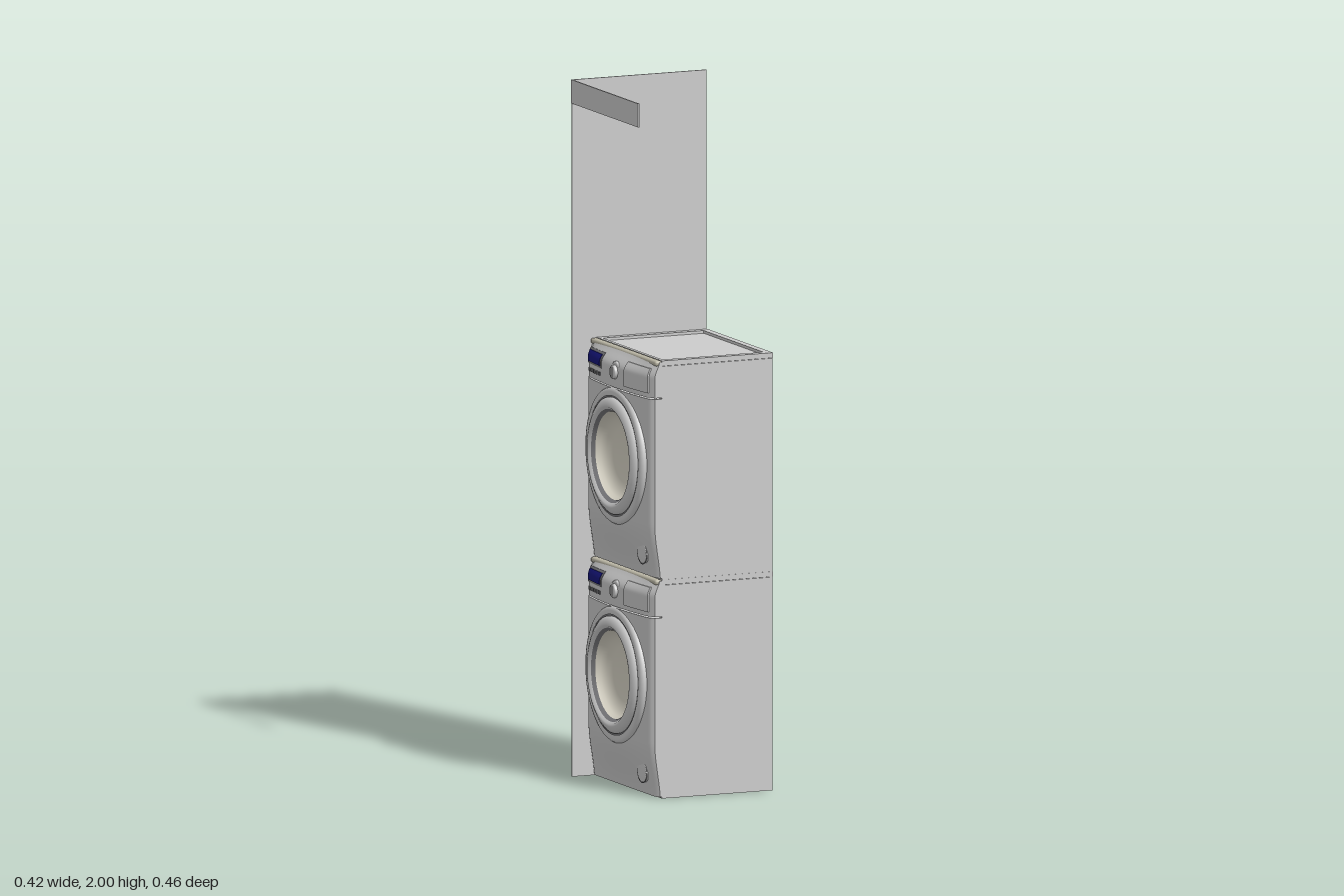
import * as THREE from 'three';
import { RoundedBoxGeometry } from 'three/addons/geometries/RoundedBoxGeometry.js';

const paint = (color, side = THREE.FrontSide) => new THREE.MeshStandardMaterial({ color, side });
const grey = paint(0xcccccc);
const greyThin = paint(0xcccccc, THREE.DoubleSide);
const dark = paint(0x77777a);
const warm = paint(0xb9b5a4);
const glass = paint(0xd8d4c6, THREE.DoubleSide);
const navy = paint(0x15157a);

const HEIGHT = 0.628;   // one machine
const DOOR_Y = 0.325;   // door centre above the machine's base

function add(group, name, geometry, material, x = 0, y = 0, z = 0) {
  const mesh = new THREE.Mesh(geometry, material);
  mesh.name = name;
  mesh.position.set(x, y, z);
  group.add(mesh);
  return mesh;
}

function box(group, name, material, x0, x1, y0, y1, z0, z1) {
  return add(group, name, new THREE.BoxGeometry(x1 - x0, y1 - y0, z1 - z0), material,
    (x0 + x1) / 2, (y0 + y1) / 2, (z0 + z1) / 2);
}

// Bulged front surface: x as a function of height and width
function faceX(y, z) {
  const s = THREE.MathUtils.smoothstep;
  const p = s(y, -0.02, 0.16) * s(HEIGHT + 0.01 - y, 0, 0.06);
  const w = Math.abs(z) / 0.225;
  return -0.148 - p * (0.018 + 0.016 * (1 - w * w)) + 0.01 * Math.pow(w, 24);
}

// Panel whose front follows the bulge, raised by an offset
function curvedPanel(group, name, material, y0, y1, z0, z1, offset, doorHole = false) {
  const n = doorHole ? 56 : 16;
  const geo = new THREE.BoxGeometry(1, y1 - y0, z1 - z0, 1, n, n);
  geo.translate(0, (y0 + y1) / 2, (z0 + z1) / 2);
  const pos = geo.attributes.position;
  for (let i = 0; i < pos.count; i++) {
    const y = pos.getY(i), z = pos.getZ(i);
    const inDoor = doorHole && Math.hypot(y - DOOR_Y, z) < 0.15;
    const front = inDoor ? -0.138 : faceX(y, z) - offset;
    pos.setX(i, pos.getX(i) < 0 ? front : -0.134);
  }
  geo.computeVertexNormals();
  return add(group, name, geo, material);
}

// Turned part whose axis points out of the front (-x); points are [radius, out]
function turned(group, name, material, points, x, y, z, segments = 64) {
  const geo = new THREE.LatheGeometry(points.map(([r, h]) => new THREE.Vector2(r, h)), segments);
  geo.rotateZ(Math.PI / 2);
  return add(group, name, geo, material, x, y, z);
}

function createMachine() {
  const m = new THREE.Group();
  box(m, 'cabinet', grey, -0.135, 0.209, 0, 0.612, -0.223, 0.224);

  // Lid: raised rim around a sunken plate
  const rim = new THREE.Shape();
  rim.moveTo(-0.135, -0.225).lineTo(0.21, -0.225).lineTo(0.21, 0.224).lineTo(-0.135, 0.224).closePath();
  const hole = new THREE.Path();
  hole.moveTo(-0.124, -0.203).lineTo(-0.124, 0.203).lineTo(0.189, 0.203).lineTo(0.189, -0.203).closePath();
  rim.holes.push(hole);
  const rimGeo = new THREE.ExtrudeGeometry(rim, { depth: 0.015, bevelEnabled: false });
  rimGeo.rotateX(-Math.PI / 2);
  add(m, 'lidRim', rimGeo, grey, 0, 0.613, 0);
  box(m, 'lidPlate', grey, -0.126, 0.191, 0.611, 0.62, -0.204, 0.204);
  add(m, 'lidFrontTrim', new RoundedBoxGeometry(0.022, 0.016, 0.447, 3, 0.007), warm, -0.144, 0.62, 0);

  // Front
  curvedPanel(m, 'frontPanel', grey, 0.004, 0.518, -0.224, 0.224, 0, true);
  curvedPanel(m, 'controlPanel', grey, 0.522, 0.624, -0.225, 0.225, 0.001);
  curvedPanel(m, 'detergentDrawer', grey, 0.535, 0.605, 0.07, 0.205, 0.004);
  curvedPanel(m, 'displayBezel', dark, 0.562, 0.606, -0.207, -0.09, 0.002);
  curvedPanel(m, 'display', navy, 0.568, 0.6, -0.2, -0.1, 0.004);
  for (let i = 0; i < 5; i++) {
    curvedPanel(m, 'button', dark, 0.54, 0.55, -0.195 + i * 0.021, -0.183 + i * 0.021, 0.004);
  }

  // Program knob
  turned(m, 'knobRing', greyThin, [[0.03, -0.01], [0.03, 0.003], [0.026, 0.005], [0, 0.005]], -0.178, 0.567, 0.008, 32);
  turned(m, 'knob', greyThin, [[0.02, 0], [0.02, 0.012], [0.017, 0.015], [0, 0.015]], -0.178, 0.567, 0.008, 32);
  box(m, 'knobGrip', grey, -0.195, -0.185, 0.552, 0.582, 0.004, 0.012);

  // Round door
  turned(m, 'doorFrame', greyThin, [[0.197, -0.02], [0.197, 0.012], [0.192, 0.019], [0.184, 0.022], [0.172, 0.021]],
    -0.165, DOOR_Y, 0);
  turned(m, 'doorGroove', dark, [[0.174, 0.019], [0.164, 0.019]], -0.165, DOOR_Y, 0);
  turned(m, 'doorRing', greyThin, [[0.168, 0.012], [0.167, 0.023], [0.158, 0.03], [0.147, 0.035], [0.14, 0.034], [0.133, 0.026]],
    -0.165, DOOR_Y, 0);
  turned(m, 'doorInnerRing', dark, [[0.134, 0.028], [0.126, 0.018]], -0.165, DOOR_Y, 0);
  turned(m, 'doorGlass', glass, [[0.128, 0.02], [0.12, 0.004], [0.105, -0.009], [0.08, -0.016], [0.04, -0.019], [0, -0.02]],
    -0.165, DOOR_Y, 0);
  add(m, 'doorHandle', new RoundedBoxGeometry(0.012, 0.07, 0.016, 3, 0.005), grey, -0.192, DOOR_Y, -0.153);

  // Filter cover
  const filterX = faceX(0.07, 0.15);
  turned(m, 'filterCover', greyThin, [[0.032, -0.008], [0.032, 0.002], [0.029, 0.004], [0, 0.004]], filterX, 0.07, 0.15, 32);
  turned(m, 'filterSeam', dark, [[0.035, 0.0015], [0.032, 0.0015]], filterX, 0.07, 0.15, 32);
  return m;
}

export function createModel() {
  const model = new THREE.Group();
  model.name = 'stackedLaundryUnit';

  // Two stacked machines facing -x
  ['lowerMachine', 'upperMachine'].forEach((name, i) => {
    const machine = createMachine();
    machine.name = name;
    machine.position.y = i * HEIGHT;
    model.add(machine);
  });

  // Tall side board and the fascia strip across the top
  box(model, 'sideBoard', grey, -0.211, 0.207, 0, 2, -0.229, -0.2245);
  box(model, 'topFascia', grey, -0.212, -0.2075, 1.932, 2, -0.229, 0.229);
  return model;
}
